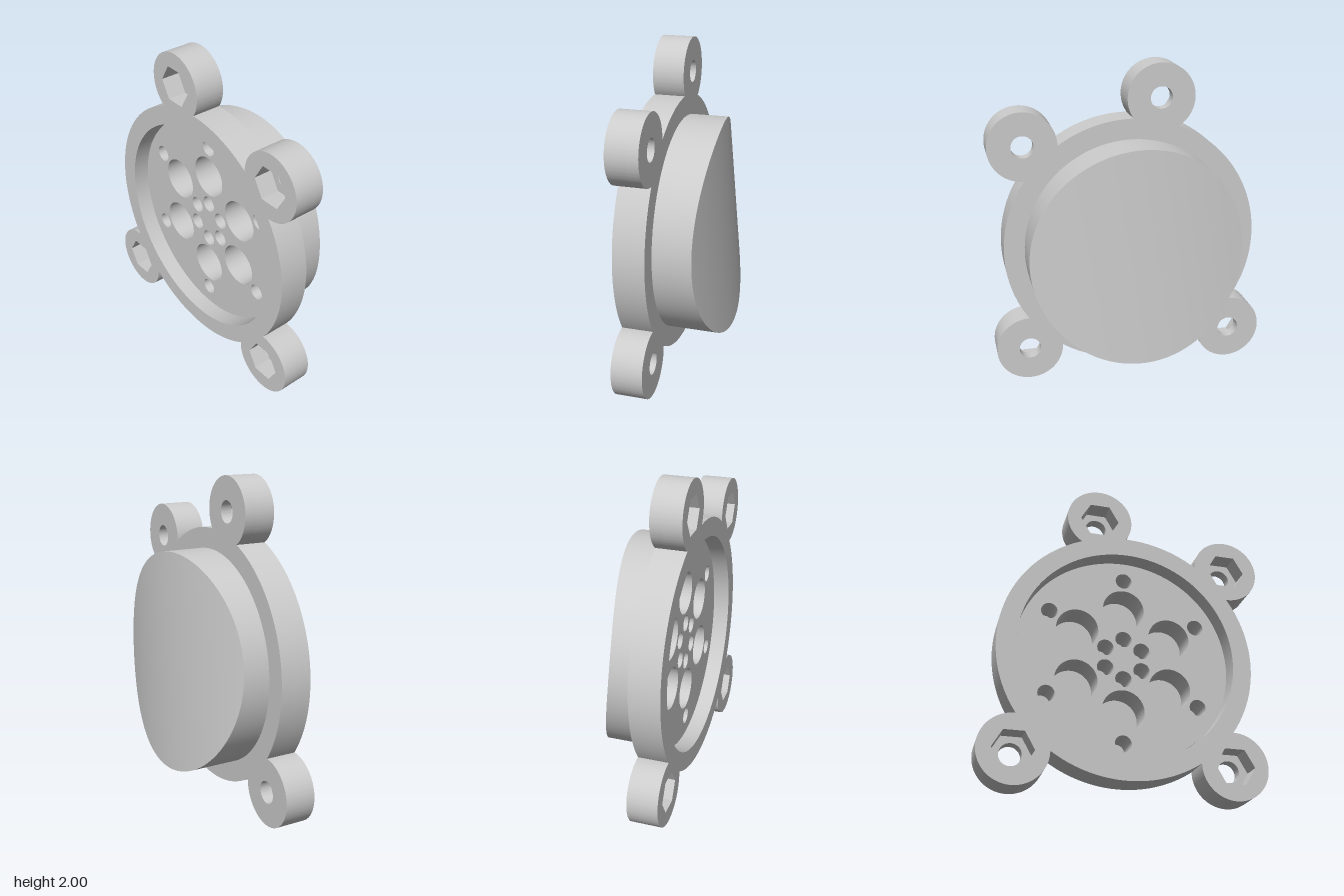
import * as THREE from 'three';
import { toCreasedNormals } from 'three/addons/utils/BufferGeometryUtils.js';

const FLANGE_R = 0.798, RECESS_R = 0.68, CAP_R = 0.671;
const LUG_R = 0.21, LUG_D = 0.935;
const LUGS = [45, 101.4, 225, 315].map(THREE.MathUtils.degToRad);
const BACK = -0.044, STEP = 0.027, FRONT = 0.147, FLOOR = 0.047;

const material = new THREE.MeshStandardMaterial({ color: 0xcccccc });

function circle(x, y, r) {
  return new THREE.Path().absarc(x, y, r, 0, Math.PI * 2, false);
}

function hexagon(x, y, r) {
  const points = [];
  for (let i = 0; i < 6; i++) {
    const a = i * Math.PI / 3;
    points.push(new THREE.Vector2(x + r * Math.cos(a), y + r * Math.sin(a)));
  }
  return new THREE.Path(points);
}

// Disc outline with a round lug at each lug angle
function flangeOutline() {
  const cos = (FLANGE_R ** 2 + LUG_D ** 2 - LUG_R ** 2) / (2 * FLANGE_R * LUG_D);
  const alpha = Math.acos(cos);
  const beta = Math.atan2(FLANGE_R * Math.sin(alpha), FLANGE_R * cos - LUG_D);
  const shape = new THREE.Shape();
  LUGS.forEach((a, i) => {
    const next = i < LUGS.length - 1 ? LUGS[i + 1] : LUGS[0] + Math.PI * 2;
    shape.absarc(LUG_D * Math.cos(a), LUG_D * Math.sin(a), LUG_R, a - beta, a + beta, false);
    shape.absarc(0, 0, FLANGE_R, a + alpha, next - alpha, false);
  });
  return shape;
}

function plate(name, shape, holes, z0, z1) {
  shape.holes.push(...holes);
  const geometry = new THREE.ExtrudeGeometry(shape, { depth: z1 - z0, bevelEnabled: false, curveSegments: 64 });
  geometry.translate(0, 0, z0);
  const mesh = new THREE.Mesh(toCreasedNormals(geometry, 0.5), material);
  mesh.name = name;
  return mesh;
}

// Height of the gently curved, slightly tilted cap end behind the flange
function capHeight(x, y) {
  return 0.34 + 0.047 * x - 0.06 * y - 0.21 * (x - 0.15 * y) ** 2;
}

function buildCap() {
  const cap = new THREE.Group();
  cap.name = 'cap';

  const wall = new THREE.CylinderGeometry(CAP_R, CAP_R, 1, 128, 1, true).rotateX(Math.PI / 2);
  const p = wall.attributes.position;
  for (let i = 0; i < p.count; i++) {
    p.setZ(i, p.getZ(i) > 0 ? 0 : -capHeight(p.getX(i), p.getY(i)));
  }
  const wallMesh = new THREE.Mesh(wall, material);
  wallMesh.name = 'capWall';

  const end = new THREE.RingGeometry(0, CAP_R, 128, 20).rotateY(Math.PI);
  const q = end.attributes.position;
  for (let i = 0; i < q.count; i++) q.setZ(i, -capHeight(q.getX(i), q.getY(i)));
  end.computeVertexNormals();
  const endMesh = new THREE.Mesh(end, material);
  endMesh.name = 'capEnd';

  cap.add(wallMesh, endMesh);
  return cap;
}

export function createModel() {
  const body = new THREE.Group();
  body.name = 'body';

  // Flange: hexagonal nut pockets in front, round bolt holes behind
  const atLugs = (make, r) => LUGS.map(a => make(LUG_D * Math.cos(a), LUG_D * Math.sin(a), r));
  body.add(plate('flangeFront', flangeOutline(),
    [circle(0, 0, RECESS_R), ...atLugs(hexagon, 0.124)], STEP, FRONT));
  body.add(plate('flangeBack', flangeOutline(),
    [circle(0, 0, CAP_R - 0.005), ...atLugs(circle, 0.068)], BACK, STEP));

  // Recessed floor with three rings of six holes
  const holes = [];
  for (const [ring, r] of [[0.133, 0.052], [0.34, 0.133], [0.546, 0.052]]) {
    for (let i = 0; i < 6; i++) {
      const a = Math.PI / 2 + i * Math.PI / 3;
      holes.push(circle(ring * Math.cos(a), ring * Math.sin(a), r));
    }
  }
  const disc = new THREE.Shape().absarc(0, 0, CAP_R - 0.001, 0, Math.PI * 2, false);
  body.add(plate('perforatedFloor', disc, holes, -0.133, FLOOR));

  // Blind bottom of the holes
  const bottom = new THREE.Mesh(new THREE.CircleGeometry(CAP_R - 0.002, 64), material);
  bottom.name = 'holeBottom';
  bottom.position.z = -0.132;
  body.add(bottom, buildCap());

  body.rotation.y = THREE.MathUtils.degToRad(-62.87);
  body.position.set(-0.013, 0.876, -0.025);

  const model = new THREE.Group();
  model.name = 'flangedCap';
  model.add(body);
  return model;
}
